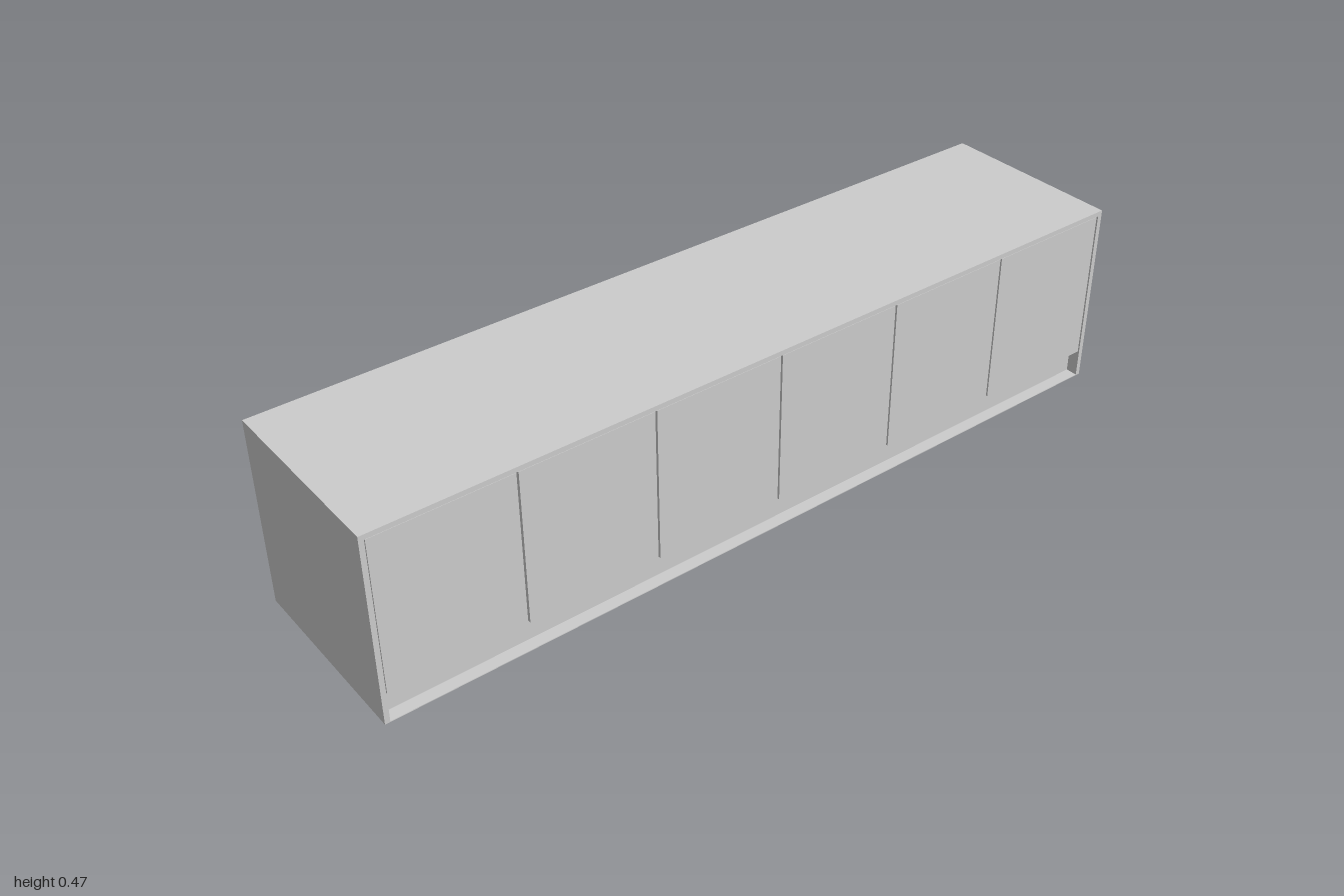
import * as THREE from 'three';

const W = 2, H = 0.467, D = 0.467, T = 0.012; // overall size and board thickness
const BASE = 0.072, GAP = 0.005, INSET = 0.002;

export function createModel() {
  const model = new THREE.Group();
  model.name = 'sideboard';
  const material = new THREE.MeshStandardMaterial({ color: 0xcccccc });

  // Board given by its minimum and maximum corners
  function board(name, [x0, y0, z0], [x1, y1, z1]) {
    const mesh = new THREE.Mesh(new THREE.BoxGeometry(x1 - x0, y1 - y0, z1 - z0), material);
    mesh.position.set((x0 + x1) / 2, (y0 + y1) / 2, (z0 + z1) / 2);
    mesh.name = name;
    model.add(mesh);
  }

  const front = D / 2, back = -D / 2, inner = W / 2 - T;

  // Carcass
  board('top', [-W / 2, H - T, back], [W / 2, H, front]);
  board('rightSide', [-W / 2, 0, back], [-inner, H - T, front]);
  board('leftSide', [inner, 0, back], [W / 2, H - T, front]);
  board('bottom', [-inner, BASE, back + INSET + T], [inner, BASE + T, front - INSET - T]);

  // Recessed plinth with a thin foot plate
  board('plinth', [-inner, 0.002, front - 0.042], [inner, BASE, front - 0.03]);
  board('footPlate', [-inner, 0, front - 0.042], [inner, 0.002, front]);

  // Row of equal panels separated by narrow gaps
  function panelRow(name, count, z0, z1) {
    const pitch = (2 * inner) / count;
    for (let i = 0; i < count; i++) {
      const x = -inner + i * pitch;
      board(`${name}${i + 1}`, [x + GAP / 2, BASE, z0], [x + pitch - GAP / 2, H - T - GAP / 2, z1]);
    }
  }
  panelRow('door', 6, front - INSET - T, front - INSET);
  panelRow('backPanel', 3, back + INSET, back + INSET + T);

  // Inner dividers behind the panel joints
  for (const side of [-1, 1]) {
    const x = (side * inner) / 3;
    board(side < 0 ? 'rightDivider' : 'leftDivider',
      [x - T / 2, BASE + T, back + INSET + T], [x + T / 2, H - T, front - INSET - T]);
  }
  return model;
}
